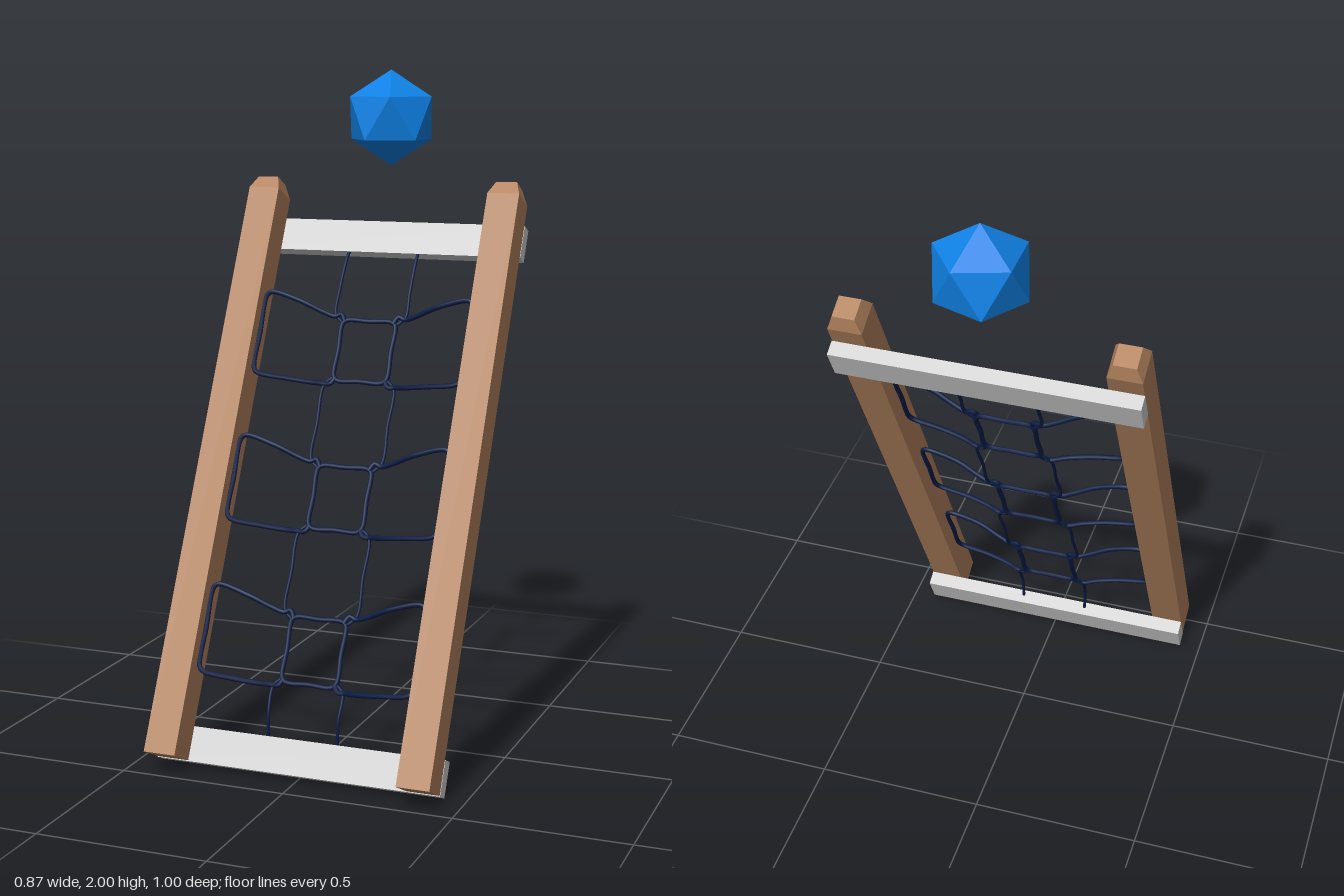
import * as THREE from 'three';

export function createModel() {
  const model = new THREE.Group();
  model.name = 'climbingNet';

  const mat = (name, color, flat) => {
    const m = new THREE.MeshStandardMaterial({ color, flatShading: flat });
    m.name = name;
    return m;
  };
  const wood = mat('wood', 0xb4845f, true);
  const greyBoard = mat('greyBoard', 0xd2d2d2, true);
  const navyRope = mat('navyRope', 0x0a1b42, false);
  const blue = mat('blue', 0x0f80e4, true);

  const add = (parent, name, geometry, material) => {
    const mesh = new THREE.Mesh(geometry, material);
    mesh.name = name;
    parent.add(mesh);
    return mesh;
  };

  // Leaning frame: y runs along the posts, z points out of the front
  const frame = new THREE.Group();
  frame.name = 'leaningFrame';
  frame.position.set(0, 0.047, 0.455);
  frame.rotation.x = -Math.atan(0.5);
  model.add(frame);

  // Square posts with chamfered tops
  const postGeometry = new THREE.BoxGeometry(0.098, 1.8, 0.1, 1, 2, 1).translate(0, 0.9, 0);
  const p = postGeometry.attributes.position;
  for (let i = 0; i < p.count; i++) {
    if (p.getY(i) > 1.7) {
      p.setX(i, p.getX(i) * 0.66);
      p.setZ(i, p.getZ(i) * 0.66);
    } else if (p.getY(i) > 0.5) p.setY(i, 1.757);
  }
  for (const side of [-1, 1]) {
    add(frame, side > 0 ? 'leftPost' : 'rightPost', postGeometry, wood).position.x = side * 0.385;
  }

  // Cross boards on the back of the posts
  for (const [name, y] of [['topBoard', 1.645], ['bottomBoard', 0.049]]) {
    add(frame, name, new THREE.BoxGeometry(0.87, 0.102, 0.044), greyBoard).position.set(0, y, -0.073);
  }

  // Rope net
  const net = new THREE.Group();
  net.name = 'ropeNet';
  frame.add(net);
  const rope = (name, points, radius, parent = net, closed = false) => {
    const curve = new THREE.CatmullRomCurve3(points.map((q) => new THREE.Vector3(...q)), closed);
    add(parent, name, new THREE.TubeGeometry(curve, points.length * 6, radius, 8, closed), navyRope);
  };
  const mirror = (points, side) => points.map(([x, y, z]) => [x * side, y, z]);

  const pitch = 0.458;
  for (let c = 0; c < 3; c++) {
    const cell = new THREE.Group();
    cell.name = 'netCell' + (c + 1);
    cell.position.y = -c * pitch;
    net.add(cell);

    // Middle loop
    rope('middleLoop', [
      [-0.07, 1.367, -0.038], [0, 1.366, -0.038], [0.07, 1.367, -0.038],
      [0.084, 1.357, -0.038], [0.084, 1.27, -0.038], [0.084, 1.186, -0.038],
      [0.07, 1.174, -0.038], [0, 1.175, -0.038], [-0.07, 1.174, -0.038],
      [-0.084, 1.186, -0.038], [-0.084, 1.27, -0.038], [-0.084, 1.357, -0.038],
    ], 0.0075, cell, true);

    // Outer loops hung against the posts
    for (const side of [-1, 1]) {
      rope('outerLoop', mirror([
        [0.078, 1.362, -0.034], [0.092, 1.384, -0.036], [0.112, 1.376, -0.036],
        [0.15, 1.385, -0.025], [0.22, 1.409, -0.003], [0.315, 1.431, 0.006],
        [0.329, 1.42, 0.006], [0.33, 1.3, 0.006], [0.329, 1.186, 0.006],
        [0.316, 1.172, 0.006], [0.22, 1.162, -0.005], [0.15, 1.16, -0.022],
        [0.112, 1.162, -0.037], [0.092, 1.162, -0.036], [0.08, 1.18, -0.036],
      ], side), 0.0075, cell);
    }
  }

  // Upright ropes between the boards and the cells
  for (const side of [-1, 1]) {
    rope('topUpright', mirror([
      [0.111, 1.605, -0.062], [0.112, 1.57, -0.05], [0.113, 1.46, -0.038],
      [0.112, 1.385, -0.04], [0.086, 1.358, -0.04],
    ], side), 0.005);
    for (let c = 0; c < 2; c++) {
      const d = -c * pitch;
      rope('middleUpright', mirror([
        [0.084, 1.186 + d, -0.04], [0.111, 1.158 + d, -0.039], [0.112, 1.04 + d, -0.038],
        [0.112, 0.927 + d, -0.04], [0.086, 0.9 + d, -0.04],
      ], side), 0.005);
    }
    rope('bottomUpright', mirror([
      [0.084, 0.27, -0.04], [0.107, 0.245, -0.039], [0.108, 0.165, -0.04], [0.106, 0.09, -0.07],
    ], side), 0.005);
  }

  // Faceted ball above, standing on one corner
  const ballGeometry = new THREE.IcosahedronGeometry(0.145, 0);
  ballGeometry.rotateZ(-Math.atan(2 / (1 + Math.sqrt(5))));
  add(model, 'ball', ballGeometry, blue).position.set(0, 1.855, -0.375);

  return model;
}
